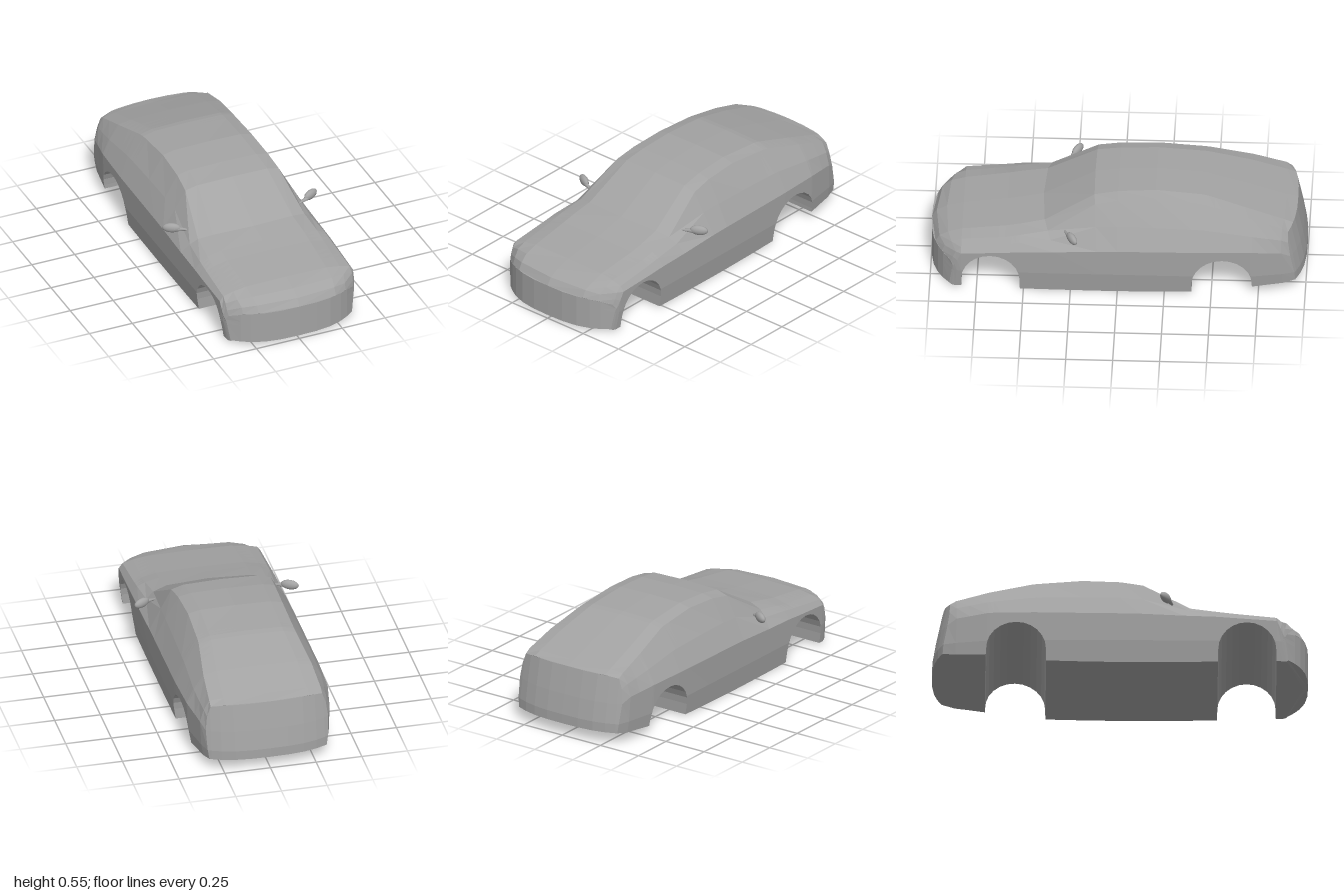
import * as THREE from 'three';

const paint = new THREE.MeshStandardMaterial({ color: 0xa3a3a3, flatShading: true });
const smoothPaint = new THREE.MeshStandardMaterial({ color: 0xa3a3a3 });

// Key sections, nose to tail:
// z, corner sweep, lean, belt x, belt y, shoulder x, shoulder y, roof edge x, roof edge y, crown y
const keys = [
  [1.0, 0.13, 0, 0.375, 0.145, 0.362, 0.17, 0.3, 0.19, 0.2],
  [0.975, 0.11, 0, 0.38, 0.16, 0.367, 0.2, 0.3, 0.225, 0.24],
  [0.92, 0.065, 0, 0.385, 0.19, 0.368, 0.235, 0.31, 0.257, 0.27],
  [0.84, 0, 0, 0.388, 0.235, 0.368, 0.262, 0.31, 0.277, 0.291],
  [0.6, 0, 0, 0.393, 0.25, 0.365, 0.288, 0.32, 0.302, 0.325],
  [0.51, 0, 0, 0.394, 0.257, 0.363, 0.3, 0.32, 0.32, 0.342],
  [0.405, 0.06, 0, 0.395, 0.262, 0.352, 0.312, 0.31, 0.343, 0.365],
  [0.13, 0.02, 0, 0.395, 0.273, 0.331, 0.388, 0.272, 0.495, 0.517],
  [0.0, 0, 0, 0.395, 0.275, 0.335, 0.395, 0.264, 0.518, 0.536],
  [-0.2, 0, 0, 0.395, 0.277, 0.338, 0.395, 0.258, 0.528, 0.546],
  [-0.46, 0, 0, 0.395, 0.28, 0.342, 0.39, 0.264, 0.505, 0.527],
  [-0.7, 0, 0, 0.386, 0.28, 0.348, 0.36, 0.295, 0.44, 0.458],
  [-0.9, -0.03, 0.01, 0.355, 0.26, 0.335, 0.33, 0.305, 0.385, 0.397],
  [-1.0, -0.09, 0.05, 0.335, 0.23, 0.325, 0.31, 0.305, 0.365, 0.38],
];

function sample(z) {
  let i = 0;
  while (i < keys.length - 2 && z < keys[i + 1][0]) i++;
  const a = keys[i], b = keys[i + 1];
  const t = (a[0] - z) / (a[0] - b[0]);
  return a.map((v, k) => v + (b[k] - v) * t);
}

// One closed cross-section; limit cuts it off at that half-width, for the end caps
function ring(z, floorY, limit = 1) {
  const [, sweep, lean, beltX, beltY, shX, shY, edgeX, edgeY, crown] = sample(z);
  const kneeY = 0.12;
  const sideX = (y) => beltX - (y > kneeY
    ? 0.006 * (beltY - y) / (beltY - kneeY)
    : 0.006 + 0.018 * (kneeY - y) / kneeY);
  const midY = Math.max(kneeY, floorY);
  const top = [[0, crown], [edgeX * 0.75, edgeY + (crown - edgeY) * 0.8], [edgeX, edgeY], [shX, shY]];
  const topY = (x) => {
    const k = Math.max(1, top.findIndex((p) => p[0] >= x));
    const [x0, y0] = top[k - 1], [x1, y1] = top[k];
    return y0 + (y1 - y0) * (x - x0) / (x1 - x0);
  };
  const half = [
    [0, floorY], [sideX(floorY), floorY], [sideX(midY), midY], [beltX, beltY], ...top.slice().reverse(),
  ].map(([x, y], i) => (x <= limit ? [x, y] : [limit, i > 3 ? topY(limit) : y]));
  const mirrored = half.slice(1, -1).reverse().map(([x, y]) => [-x, y]);
  return [...half, ...mirrored].map(([x, y]) => [
    x, y, z - sweep * Math.pow(Math.abs(x) / 0.38, 3) + lean * Math.max(0, (y - 0.14) / 0.24),
  ]);
}

// Stations across a wheel arch: a semicircle standing on short upright walls
function arch(centre, radius, frontFloor, rearFloor) {
  const out = [[centre + radius + 0.001, frontFloor]];
  for (let i = 0; i <= 12; i++) {
    const a = (i / 12) * Math.PI;
    out.push([centre + radius * Math.cos(a), 0.07 + 0.156 * Math.sin(a)]);
  }
  out.push([centre - radius - 0.001, rearFloor]);
  return out;
}

function bodyGeometry() {
  const caps = [0, 0.1, 0.19, 0.26, 0.31];
  const stations = [
    [1, 0.02], [0.975, 0.012], [0.92, 0.01],
    ...arch(0.675, 0.155, 0.012, 0.004),
    [0.405, 0.002], [0.13, 0], [0, 0], [-0.2, 0.003],
    ...arch(-0.557, 0.161, 0.008, 0.046),
    [-0.82, 0.052], [-0.9, 0.056], [-1, 0.068],
  ];
  const rings = [
    ...caps.map((limit) => ring(1, 0.02, limit)),
    ...stations.map(([z, y]) => ring(z, y)),
    ...caps.slice().reverse().map((limit) => ring(-1, 0.068, limit)),
  ];
  const n = rings[0].length, index = [];
  for (let i = 0; i < rings.length - 1; i++) {
    for (let j = 0; j < n; j++) {
      const a = i * n + j, b = i * n + (j + 1) % n;
      index.push(a, a + n, b, b, a + n, b + n);
    }
  }
  const geometry = new THREE.BufferGeometry();
  geometry.setAttribute('position', new THREE.Float32BufferAttribute(rings.flat(2), 3));
  geometry.setIndex(index);
  geometry.computeVertexNormals();
  return geometry;
}

// Door mirror: a swept-back oval housing on a tapered stalk
function sideMirror(side) {
  const group = new THREE.Group();
  const housing = new THREE.Mesh(new THREE.SphereGeometry(1, 16, 10), smoothPaint);
  housing.name = 'mirrorHousing';
  housing.scale.set(0.05, 0.027, 0.02);
  housing.position.set(side * 0.405, 0.363, 0.24);
  housing.rotation.y = side * 0.5;

  const from = new THREE.Vector3(side * 0.32, 0.352, 0.282);
  const to = new THREE.Vector3(side * 0.395, 0.36, 0.25);
  const stalk = new THREE.Mesh(new THREE.CylinderGeometry(0.016, 0.004, from.distanceTo(to), 8), smoothPaint);
  stalk.name = 'mirrorStalk';
  stalk.position.copy(from).lerp(to, 0.5);
  stalk.quaternion.setFromUnitVectors(new THREE.Vector3(0, 1, 0), to.clone().sub(from).normalize());
  group.add(housing, stalk);
  group.name = side > 0 ? 'leftMirror' : 'rightMirror';
  return group;
}

export function createModel() {
  const car = new THREE.Group();
  car.name = 'car';
  const body = new THREE.Mesh(bodyGeometry(), paint);
  body.name = 'body';
  car.add(body, sideMirror(1), sideMirror(-1));
  return car;
}
